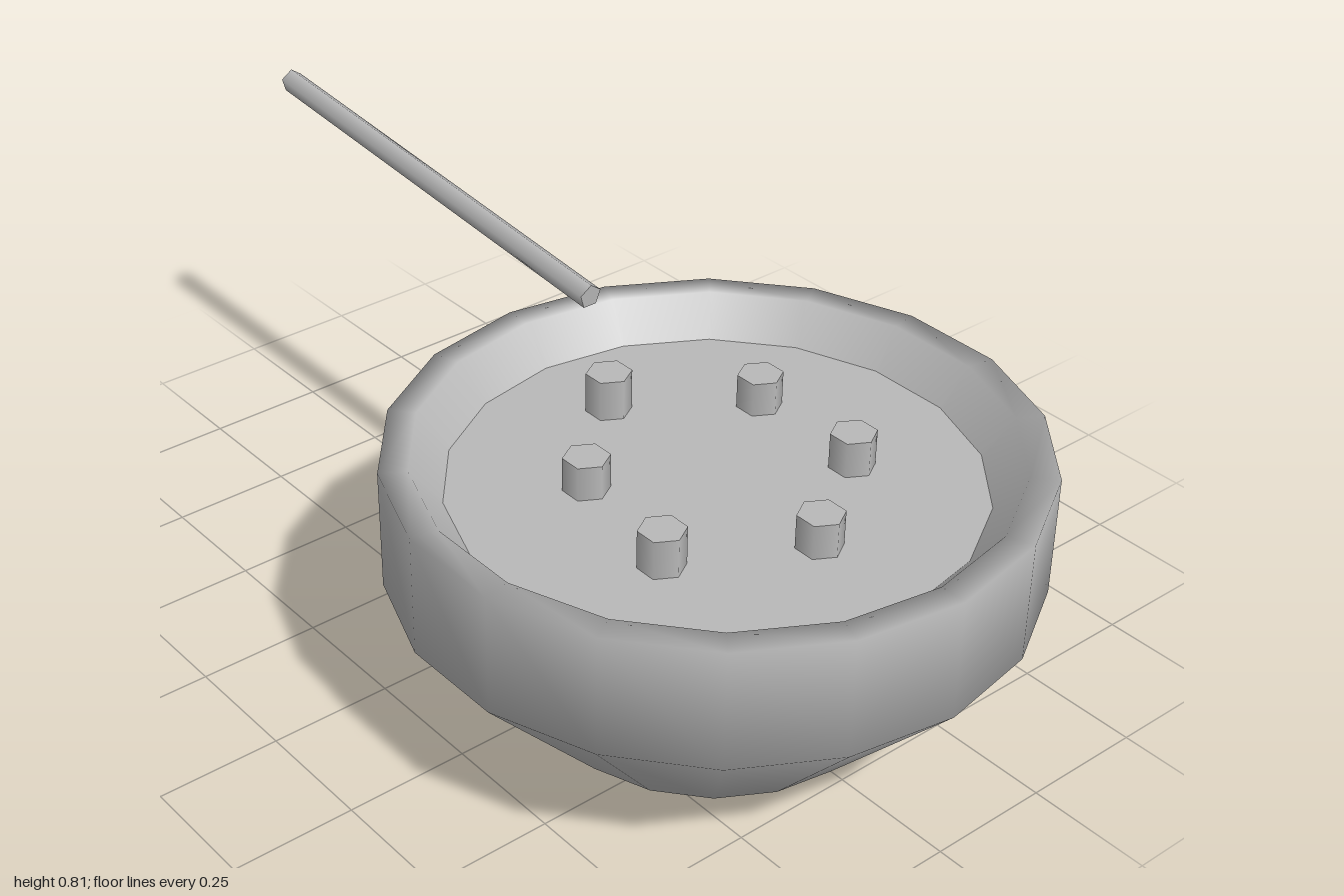
import * as THREE from 'three';

export function createModel() {
  const model = new THREE.Group();
  const grey = new THREE.MeshStandardMaterial({ color: 0xb8b8b8 });
  grey.name = 'grey';
  const SIDES = 18;
  const centreX = 0.38;

  const add = (name, geometry, x, y, z) => {
    const mesh = new THREE.Mesh(geometry, grey);
    mesh.name = name;
    mesh.position.set(x, y, z);
    model.add(mesh);
    return mesh;
  };

  // Bowl: thick-walled ring with an open hole in the base
  const profile = [
    [0.215, 0], [0.34, 0], [0.62, 0.305], [0.62, 0.55],
    [0.565, 0.55], [0.17, 0.06], [0.215, 0],
  ].map(([r, y]) => new THREE.Vector2(r, y));
  add('bowl', new THREE.LatheGeometry(profile, SIDES).rotateY(Math.PI / 2), centreX, 0, 0);

  // Liquid surface, a thin disc filling the bowl
  const surface = new THREE.CylinderGeometry(0.51, 0.5, 0.01, SIDES).rotateY(Math.PI / 2);
  add('liquid', surface, centreX, 0.47, 0);

  // Six chunks standing out of the liquid: x, z, top height
  const chunks = [
    [0.07, 0, 0.558], [0.24, -0.235, 0.545], [0.505, -0.225, 0.548],
    [0.655, 0, 0.545], [0.525, 0.255, 0.553], [0.255, 0.205, 0.545],
  ];
  const chunkHeight = 0.09;
  for (const [x, z, top] of chunks) {
    const chunk = new THREE.CylinderGeometry(0.045, 0.045, chunkHeight, 6).rotateY(Math.PI / 2);
    add('chunk', chunk, x, top - chunkHeight / 2, z);
  }

  // Five-sided stick hovering beside the rim, tilted up to the right
  const stick = new THREE.CylinderGeometry(0.025, 0.025, 1.016, 5)
    .rotateY(Math.PI / 2)
    .rotateZ(Math.PI / 2 - 0.085);
  add('stick', stick, -0.492, 0.741, 0);

  return model;
}
